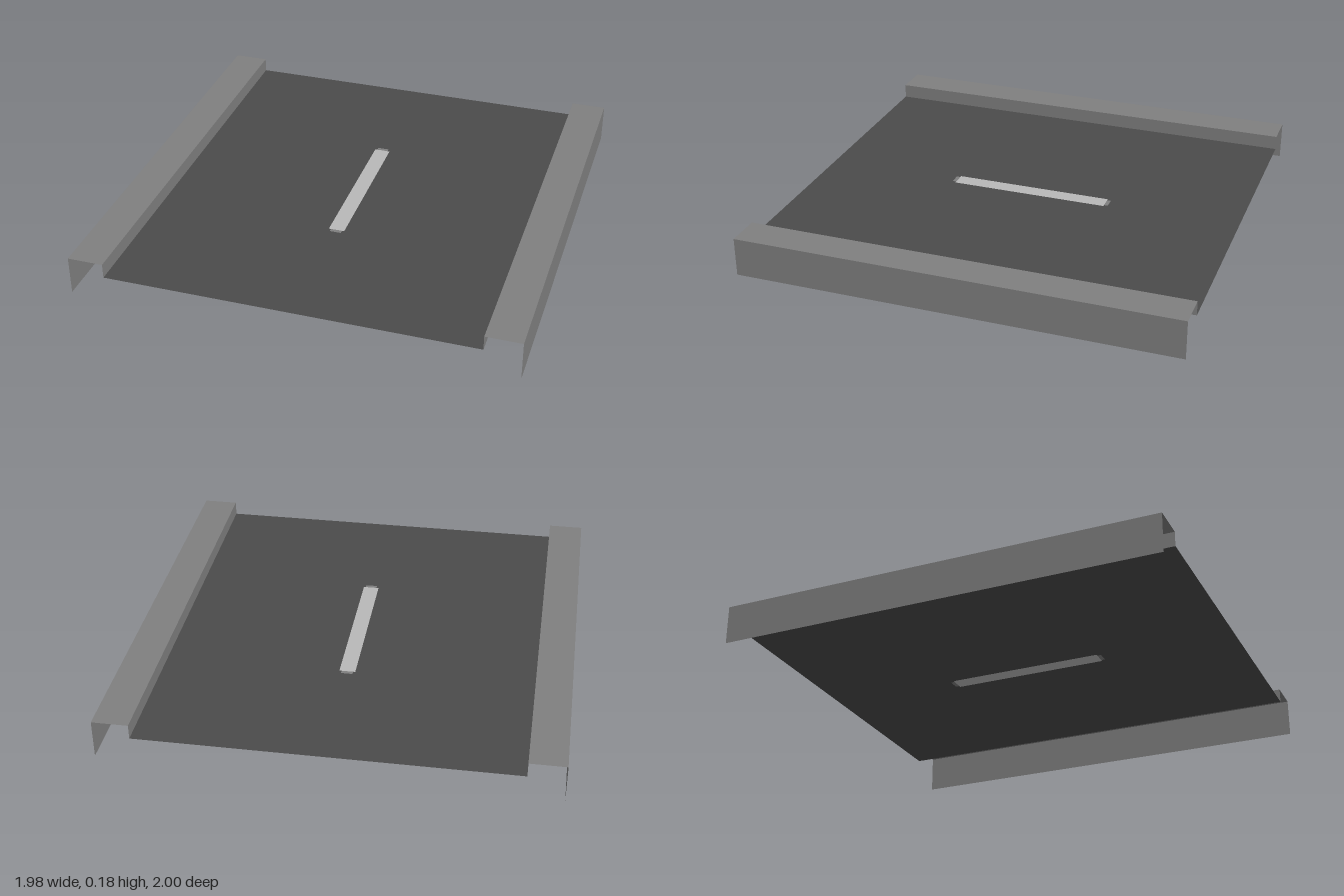
import * as THREE from 'three';

const ROAD_Y = 0.11, TOP_Y = 0.176, INNER_X = 0.83, OUTER_X = 0.99, LENGTH = 2;

function flatMaterial(name, color) {
  const m = new THREE.MeshStandardMaterial({ color, side: THREE.DoubleSide });
  m.name = name;
  return m;
}

function rectPoints(x0, x1, z0, z1) {
  return [[x0, z0], [x1, z0], [x1, z1], [x0, z1]].map(([x, z]) => new THREE.Vector2(x, -z));
}

// Horizontal sheet from an outline, with optional holes
function sheet(name, points, material, holes = []) {
  const shape = new THREE.Shape(points);
  holes.forEach((h) => shape.holes.push(new THREE.Path(h)));
  const mesh = new THREE.Mesh(new THREE.ShapeGeometry(shape).rotateX(-Math.PI / 2), material);
  mesh.name = name;
  mesh.position.y = ROAD_Y;
  return mesh;
}

// Upright sheet running along z, facing the given side
function wall(name, x, y0, y1, facing, material) {
  const geometry = new THREE.PlaneGeometry(LENGTH, y1 - y0).rotateY(facing * Math.PI / 2);
  const mesh = new THREE.Mesh(geometry, material);
  mesh.name = name;
  mesh.position.set(x, (y0 + y1) / 2, 0);
  return mesh;
}

export function createModel() {
  const model = new THREE.Group();
  model.name = 'roadSection';
  const asphalt = flatMaterial('asphalt', 0x4b4b4b);
  const concrete = flatMaterial('concrete', 0x7f7f7f);
  const paint = flatMaterial('linePaint', 0xb8b8b8);

  // Painted centre line with worn, narrower ends, set into the road sheet
  const x0 = -0.028, x1 = 0.044, e0 = -0.018, e1 = 0.034;
  const z0 = -0.39, z1 = -0.372, z2 = 0.358, z3 = 0.376;
  const outline = [[e0, z0], [e1, z0], [e1, z1], [x1, z1], [x1, z2], [e1, z2],
    [e1, z3], [e0, z3], [e0, z2], [x0, z2], [x0, z1], [e0, z1]]
    .map(([x, z]) => new THREE.Vector2(x, -z));
  model.add(sheet('roadSurface', rectPoints(-INNER_X, INNER_X, -1, 1), asphalt, [outline]));
  model.add(sheet('centreLine', rectPoints(x0, x1, z1, z2), paint));
  model.add(sheet('centreLineBackEnd', rectPoints(e0, e1, z0, z1), concrete));
  model.add(sheet('centreLineFrontEnd', rectPoints(e0, e1, z2, z3), concrete));

  // Raised kerbs: inner step, flat top and outer skirt, open at the ends
  for (const s of [-1, 1]) {
    const kerb = new THREE.Group();
    kerb.name = s > 0 ? 'leftKerb' : 'rightKerb';
    kerb.add(wall('kerbInnerStep', s * INNER_X, ROAD_Y, TOP_Y, -s, concrete));
    kerb.add(wall('kerbOuterSkirt', s * OUTER_X, 0, TOP_Y, s, concrete));
    const top = new THREE.Mesh(
      new THREE.PlaneGeometry(OUTER_X - INNER_X, LENGTH).rotateX(-Math.PI / 2), concrete);
    top.name = 'kerbTop';
    top.position.set(s * (INNER_X + OUTER_X) / 2, TOP_Y, 0);
    kerb.add(top);
    model.add(kerb);
  }
  return model;
}
